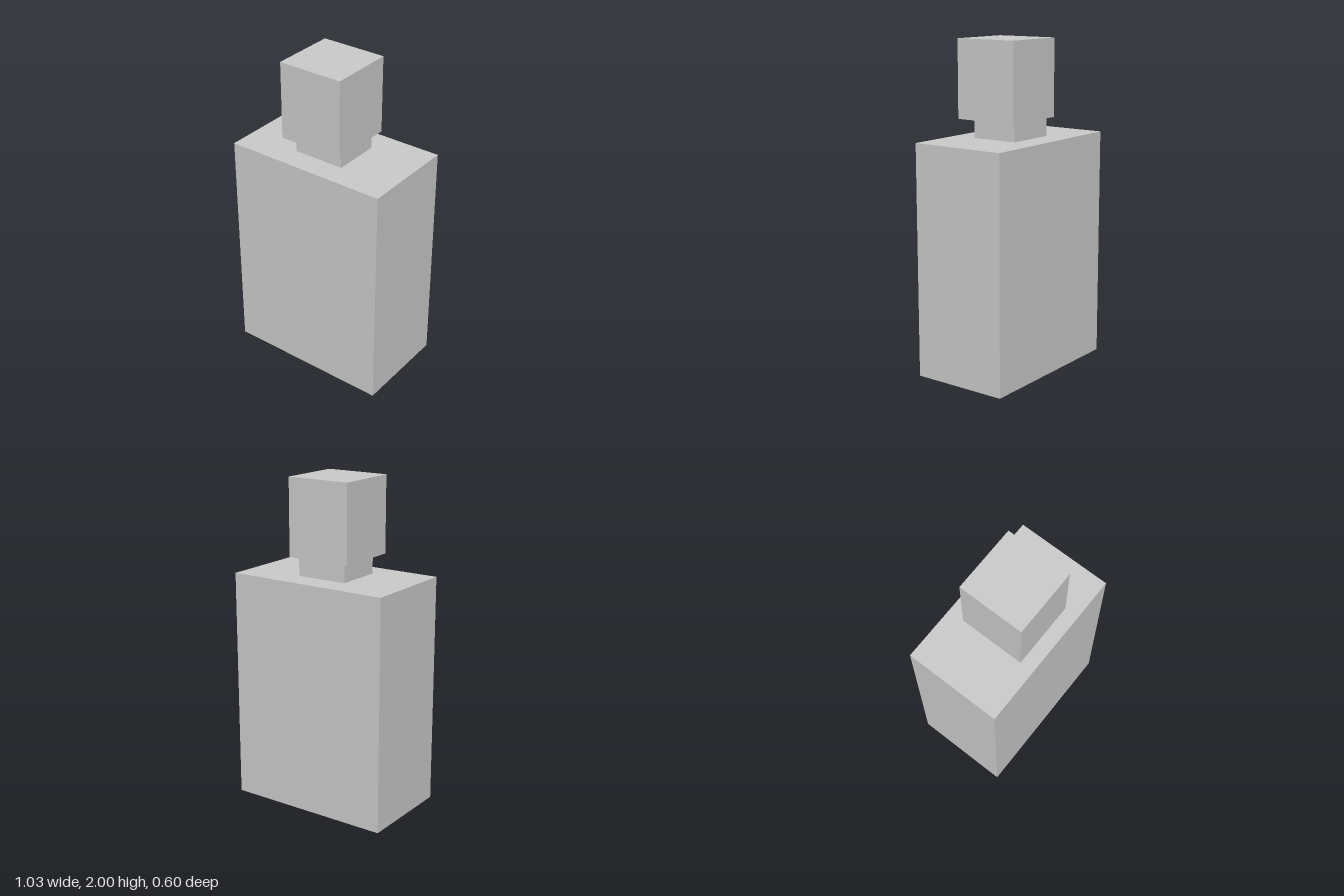
import * as THREE from 'three';

export function createModel() {
  const model = new THREE.Group();
  model.name = 'bottle';
  const material = new THREE.MeshStandardMaterial({ color: 0xcccccc, flatShading: true });

  // Adds a box spanning the given [min, max] range on each axis
  function addBlock(name, [x0, x1], [y0, y1], [z0, z1]) {
    const mesh = new THREE.Mesh(new THREE.BoxGeometry(x1 - x0, y1 - y0, z1 - z0), material);
    mesh.position.set((x0 + x1) / 2, (y0 + y1) / 2, (z0 + z1) / 2);
    mesh.name = name;
    model.add(mesh);
  }

  addBlock('body', [-0.516, 0.516], [0, 1.416], [-0.302, 0.302]);
  // Neck and cap sit slightly off centre
  addBlock('neck', [-0.164, 0.16], [1.416, 1.528], [-0.141, 0.154]);
  addBlock('cap', [-0.2, 0.209], [1.528, 2], [-0.169, 0.235]);

  return model;
}
